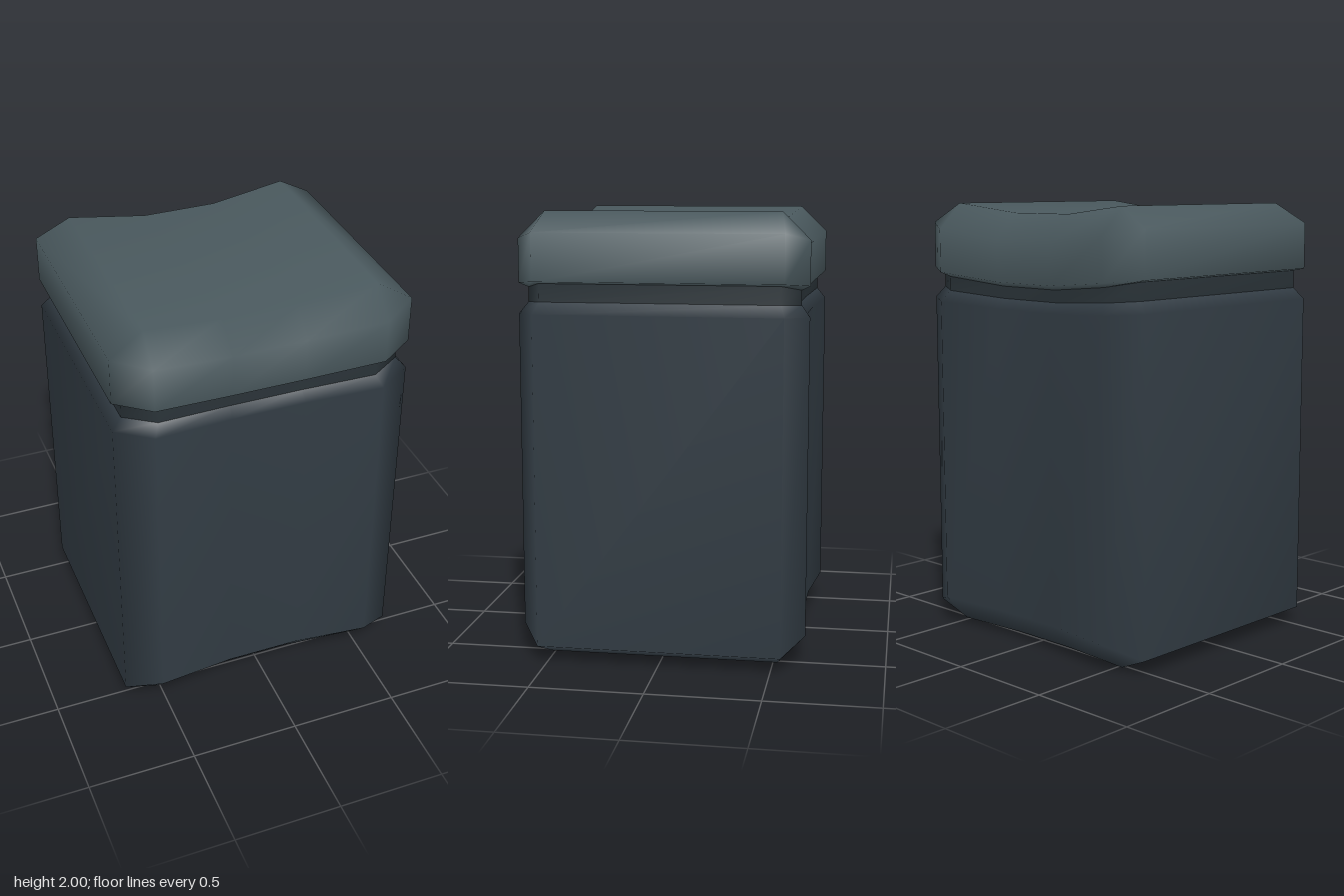
import * as THREE from 'three';
import { mergeVertices } from 'three/addons/utils/BufferGeometryUtils.js';

// One twelve-sided cross-section: chamfered corners, front and back bowed inwards.
// Each of side, corner and middle is [x, y, z]; the rest is mirrored.
function ring([side, corner, middle]) {
  const front = [side, corner, middle];
  const flipX = ([x, y, z]) => [-x, y, z];
  const half = [...front, ...front.slice().reverse().map(flipX)];
  return [...half, ...half.map(([x, y, z]) => [-x, y, -z])];
}

// Skins a stack of cross-sections, optionally closing the top with a saddle panel.
function skin(name, rows, color, closeTop = false) {
  const n = 12;
  const index = [];
  for (let r = 0; r < rows.length - 1; r++) {
    for (let i = 0; i < n; i++) {
      const a = r * n + i, b = r * n + (i + 1) % n;
      index.push(a, a + n, b, b, a + n, b + n);
    }
  }
  if (closeTop) {
    const t = (rows.length - 1) * n;
    for (let j = 1; j < 4; j++) {
      index.push(t + j, t + 11 - j, t + j + 1, t + j + 1, t + 11 - j, t + 10 - j);
    }
  }
  let geometry = new THREE.BufferGeometry();
  geometry.setAttribute('position', new THREE.Float32BufferAttribute(rows.map(ring).flat(2), 3));
  geometry.setIndex(index);
  geometry = mergeVertices(geometry, 1e-4);
  geometry.computeVertexNormals();
  const mesh = new THREE.Mesh(geometry,
    new THREE.MeshStandardMaterial({ color, side: THREE.DoubleSide }));
  mesh.name = name;
  return mesh;
}

// The full-width and the narrowed outline, at given side, corner and middle heights
const wide = (s, c, m) => [[0.675, s, 0.545], [0.52, c, 0.643], [0.17, m, 0.607]];
const narrow = (s, c, m) => [[0.63, s, 0.525], [0.495, c, 0.605], [0.165, m, 0.57]];
// The inner outline, where the corner chamfer runs out to a point
const inner = (c, m) => [[0.52, c, 0.52], [0.52, c, 0.52], [0.17, m, 0.49]];

export function createModel() {
  const group = new THREE.Group();
  group.name = 'block';

  const neckBottom = narrow(1.61, 1.6, 1.58);
  const neckTop = narrow(1.69, 1.665, 1.635);

  // Body, open underneath, with bevelled foot and shoulder
  group.add(skin('body', [
    inner(0, 0),
    wide(0.07, 0.13, 0.13),
    wide(1.56, 1.55, 1.535),
    neckBottom,
  ], 0x323c44));

  // Recessed groove between body and lid
  group.add(skin('groove', [neckBottom, neckTop], 0x2a3338));

  // Lid with bevelled rim and dished top
  group.add(skin('lid', [
    neckTop,
    wide(1.7, 1.685, 1.655),
    wide(1.91, 1.88, 1.845),
    inner(2, 1.96),
  ], 0x4a595e, true));

  return group;
}
